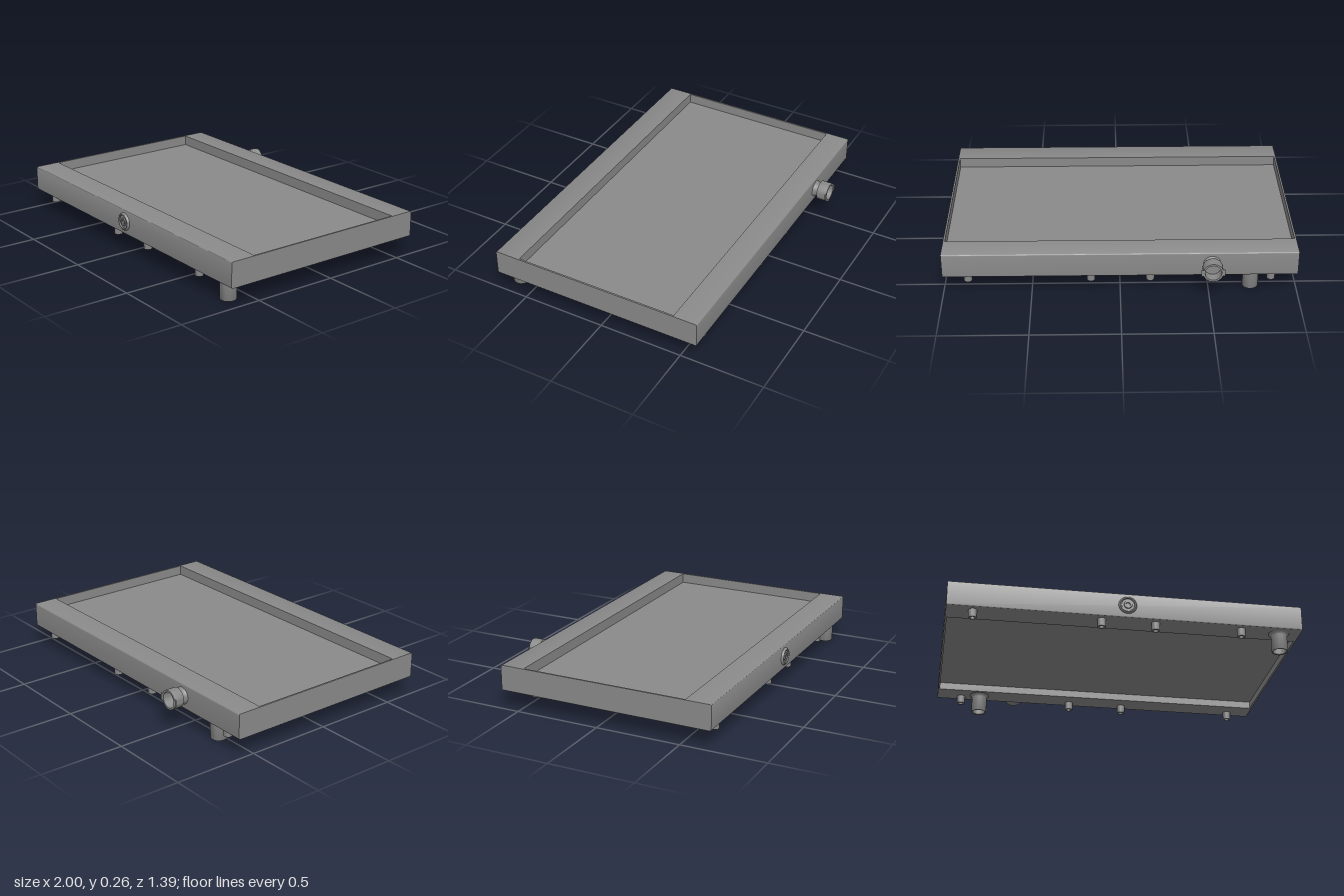
import * as THREE from 'three';
import { toCreasedNormals } from 'three/addons/utils/BufferGeometryUtils.js';

const TOP = 0.26, BOTTOM = 0.112;

export function createModel() {
  const group = new THREE.Group();
  const grey = new THREE.MeshStandardMaterial({ color: 0x8a8a8a });
  grey.name = 'grey';

  const add = (name, geometry, x = 0, y = 0, z = 0) => {
    const mesh = new THREE.Mesh(geometry, grey);
    mesh.name = name;
    mesh.position.set(x, y, z);
    group.add(mesh);
    return mesh;
  };

  // box given by its limits on each axis
  const block = (name, x0, x1, y0, y1, z0, z1) =>
    add(name, new THREE.BoxGeometry(x1 - x0, y1 - y0, z1 - z0),
      (x0 + x1) / 2, (y0 + y1) / 2, (z0 + z1) / 2);

  // turned part with crisp edges
  const turned = (points, sides) => toCreasedNormals(
    new THREE.LatheGeometry(points.map(([r, y]) => new THREE.Vector2(r, y)), sides), 0.6);

  // long beam across the tray, rounded only on its outer edges
  const beam = (name, inner, outer) => {
    const s = Math.sign(outer), r = 0.009;
    const shape = new THREE.Shape();
    shape.moveTo(-inner, BOTTOM);
    shape.lineTo(-outer + s * r, BOTTOM);
    shape.quadraticCurveTo(-outer, BOTTOM, -outer, BOTTOM + r);
    shape.lineTo(-outer, TOP - r);
    shape.quadraticCurveTo(-outer, TOP, -outer + s * r, TOP);
    shape.lineTo(-inner, TOP);
    shape.closePath();
    const geometry = new THREE.ExtrudeGeometry(shape, { depth: 2, bevelEnabled: false, curveSegments: 4 });
    geometry.translate(0, 0, -1).rotateY(Math.PI / 2);
    add(name, toCreasedNormals(geometry, 0.6));
  };

  // tray body: two beams, thin side walls and a sunken floor
  beam('frontBeam', 0.53, 0.682);
  beam('backBeam', -0.456, -0.6);
  for (const [name, x] of [['leftWall', 0.99], ['rightWall', -1]])
    block(name, x, x + 0.01, BOTTOM, TOP, -0.456, 0.53);
  block('floor', -0.99, 0.99, 0.155, 0.2, -0.456, 0.53);

  // two hollow feet with a flared top
  const foot = turned([
    [0, 0.09], [0.037, 0.09], [0.037, 0.003], [0.04, 0], [0.044, 0], [0.046, 0.004],
    [0.046, 0.092], [0.048, 0.1], [0.053, 0.108], [0.06, 0.113],
  ], 32);
  add('frontFoot', foot, 0.88, 0, 0.612);
  add('backFoot', foot, -0.74, 0, -0.527);

  // small hollow pegs under both beams
  const peg = turned([[0, 0.1], [0.014, 0.1], [0.014, 0.065], [0.023, 0.065], [0.025, 0.113]], 16);
  for (const x of [-0.853, -0.14, 0.165, 0.655]) add('frontPeg', peg, x, 0, 0.636);
  for (const x of [-0.853, -0.17, 0.165, 0.86]) add('backPeg', peg, x, 0, -0.555);

  // round dial on the front, with a raised rim and a centre button
  const dial = turned([
    [0.052, 0], [0.05, 0.007], [0.044, 0.013], [0.039, 0.013], [0.036, 0.007],
    [0.024, 0.007], [0.022, 0.012], [0.013, 0.012], [0.011, 0.006], [0, 0.006],
  ], 40).rotateX(Math.PI / 2);
  add('frontDial', dial, 0, 0.188, 0.682);

  // open connector on the back, with two side lugs at its mouth
  const socket = turned([
    [0.05, 0], [0.045, 0.006], [0.043, 0.012], [0.043, 0.03], [0.056, 0.031],
    [0.057, 0.036], [0.057, 0.094], [0.046, 0.094], [0.046, 0.035], [0, 0.035],
  ], 40).rotateX(-Math.PI / 2);
  add('backConnector', socket, -0.514, 0.187, -0.6);
  for (const side of [-1, 1])
    add('connectorLug', new THREE.BoxGeometry(0.018, 0.04, 0.006), -0.514 + side * 0.057, 0.187, -0.692);

  return group;
}
